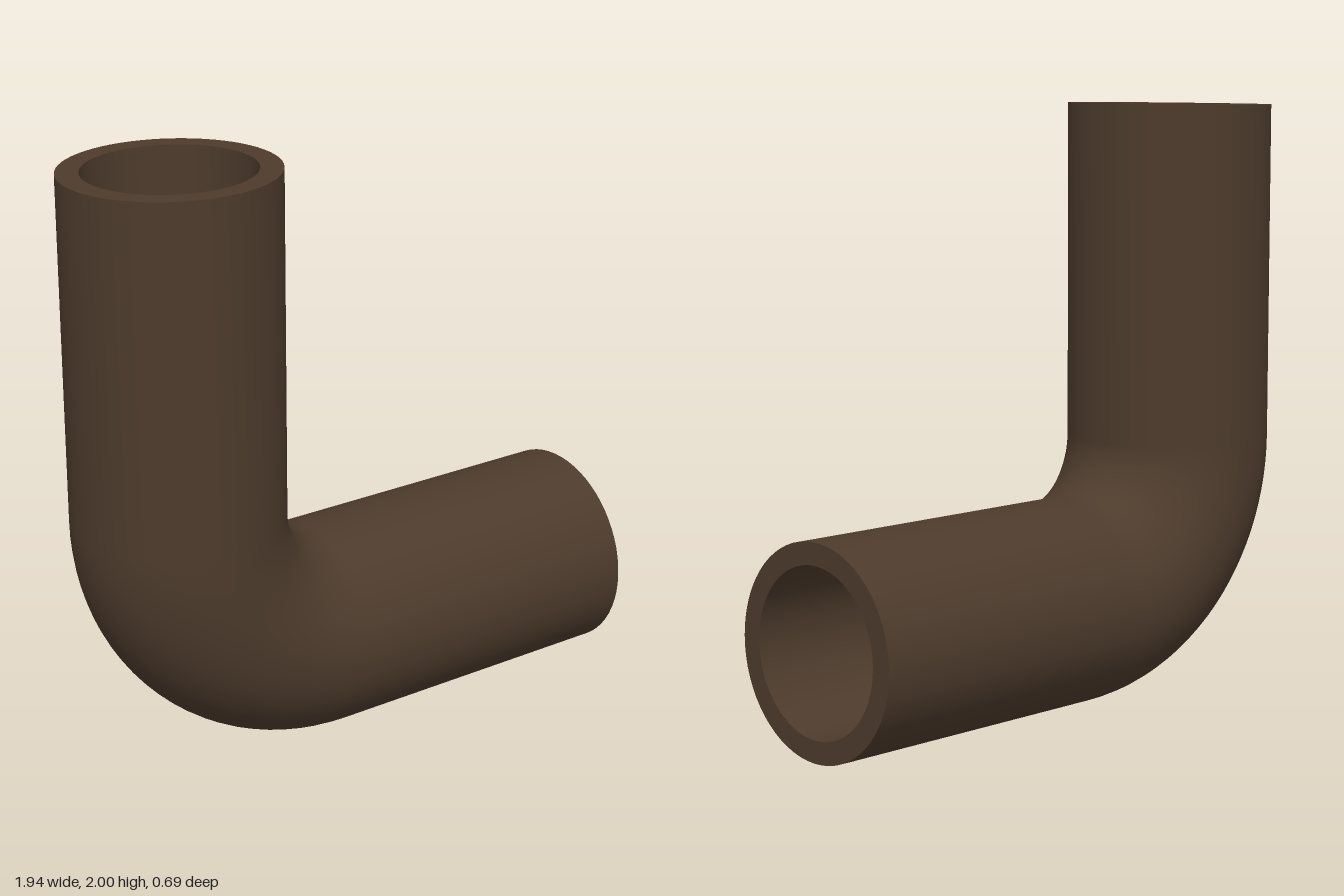
import * as THREE from 'three';

const SIDES = 64;
const OUTER = 0.345, INNER = 0.272;

// Centre line in the xy plane: each station has a centre and an in-plane radial direction
function pipeStations() {
  const bend = { x: -0.11, y: 0.863, radius: 0.515, steps: 24 };
  const stations = [{ x: -0.625, y: 1.995, nx: 1, ny: 0.0145 }]; // slightly slanted top cut
  for (let i = 0; i <= bend.steps; i++) {
    const a = Math.PI + (i / bend.steps) * Math.PI / 2;
    const nx = -Math.cos(a), ny = -Math.sin(a);
    stations.push({ x: bend.x - nx * bend.radius, y: bend.y - ny * bend.radius, nx, ny });
  }
  stations.push({ x: 0.96, y: 0.348, nx: -0.0145, ny: 1 }); // slightly slanted side cut
  return stations;
}

// Joins a row of circular rings into one smooth surface
function loft(rings) {
  const positions = [], index = [];
  for (const { s, r } of rings) {
    for (let j = 0; j < SIDES; j++) {
      const t = (j / SIDES) * Math.PI * 2;
      const c = Math.cos(t) * r;
      positions.push(s.x + s.nx * c, s.y + s.ny * c, Math.sin(t) * r);
    }
  }
  for (let i = 0; i < rings.length - 1; i++) {
    for (let j = 0; j < SIDES; j++) {
      const k = (j + 1) % SIDES;
      const a = i * SIDES + j, b = i * SIDES + k;
      index.push(a, b, a + SIDES, b, b + SIDES, a + SIDES);
    }
  }
  const geometry = new THREE.BufferGeometry();
  geometry.setAttribute('position', new THREE.Float32BufferAttribute(positions, 3));
  geometry.setIndex(index);
  geometry.computeVertexNormals();
  return geometry;
}

export function createModel() {
  const group = new THREE.Group();
  group.name = 'elbowPipe';
  const brown = new THREE.MeshStandardMaterial({ color: 0x4d3b2c });
  brown.name = 'dark brown';

  const stations = pipeStations();
  const first = stations[0], last = stations[stations.length - 1];
  const add = (name, rings) => {
    const mesh = new THREE.Mesh(loft(rings), brown);
    mesh.name = name;
    group.add(mesh);
  };

  // Walls, then the flat rims that join them at both open ends
  add('outerWall', stations.map((s) => ({ s, r: OUTER })));
  add('innerWall', [...stations].reverse().map((s) => ({ s, r: INNER })));
  add('topRim', [{ s: first, r: INNER }, { s: first, r: OUTER }]);
  add('sideRim', [{ s: last, r: OUTER }, { s: last, r: INNER }]);
  return group;
}
